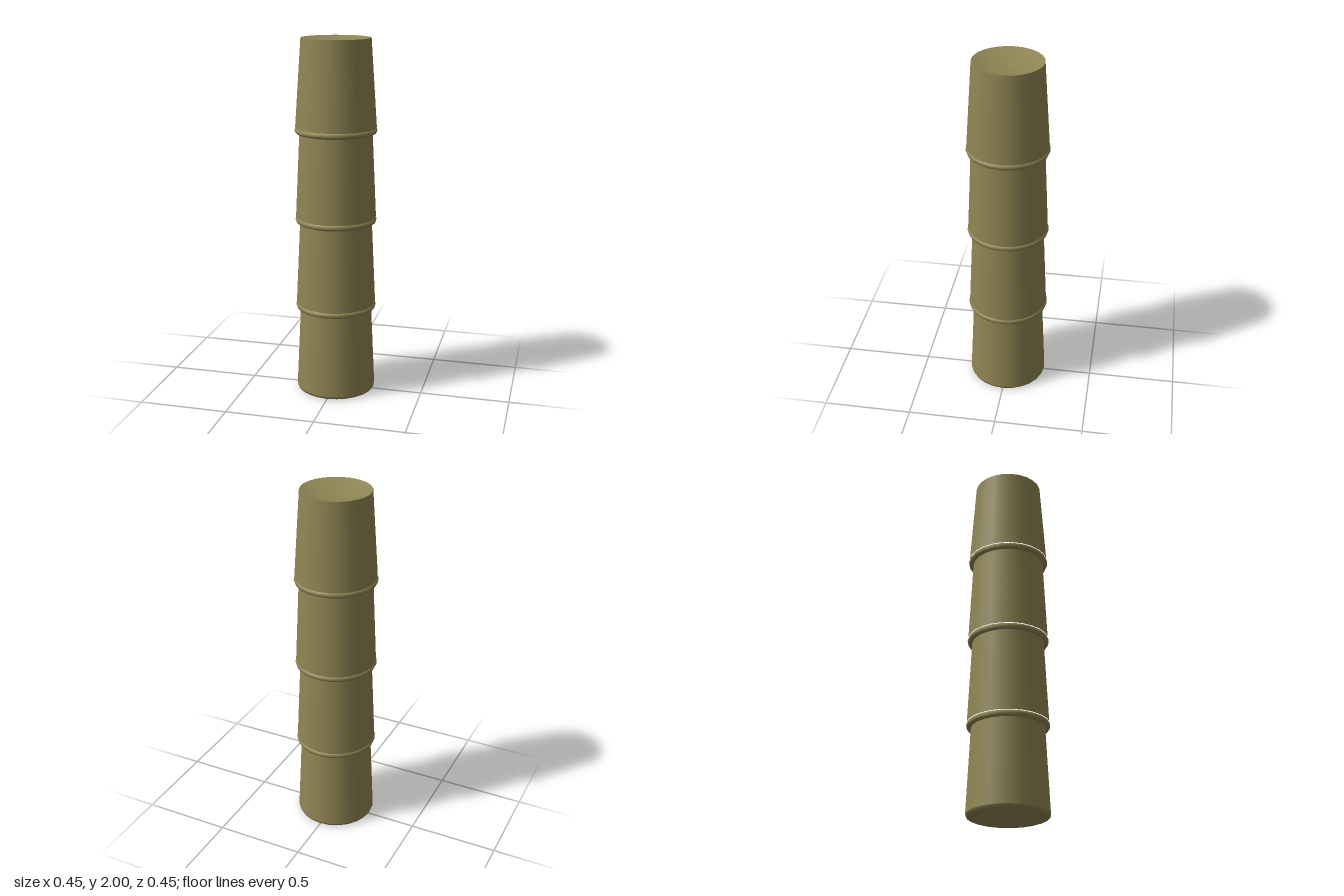
import * as THREE from 'three';

const SIDES = 24;

// Surface of revolution from [radius, height] pairs; list points upwards for an outward-facing wall
function lathe(points) {
  return new THREE.LatheGeometry(points.map(([r, y]) => new THREE.Vector2(r, y)), SIDES);
}

export function createModel() {
  const model = new THREE.Group();
  model.name = 'bambooStalk';
  const olive = new THREE.MeshStandardMaterial({ color: 0x8f8653 });
  olive.name = 'olive';

  const add = (name, geometry, y = 0) => {
    const mesh = new THREE.Mesh(geometry, olive);
    mesh.name = name;
    mesh.position.y = y;
    model.add(mesh);
    return mesh;
  };

  // Four stacked segments, each flaring towards its foot
  for (let i = 0; i < 4; i++) {
    const y = i * 0.5;
    const topRadius = i === 3 ? 0.19 : 0.2;
    add('segment' + (i + 1), lathe([[0.223, 0.018], [topRadius, 0.5]]), y);

    // Rounded node ring where a segment rests on the one below
    if (i > 0) {
      const ring = new THREE.TorusGeometry(0.209, 0.018, 8, SIDES);
      ring.rotateX(Math.PI / 2);
      add('nodeRing' + i, ring, y + 0.002);
    }
  }

  // Bevelled foot and flat underside
  add('footBevel', lathe([[0.203, 0], [0.218, 0.006], [0.223, 0.018]]));
  add('underside', lathe([[0, 0], [0.203, 0]]));

  // Slightly hollowed cut at the top
  add('topCut', lathe([[0.19, 0], [0.14, -0.016], [0.07, -0.028], [0, -0.032]]), 2);

  return model;
}
